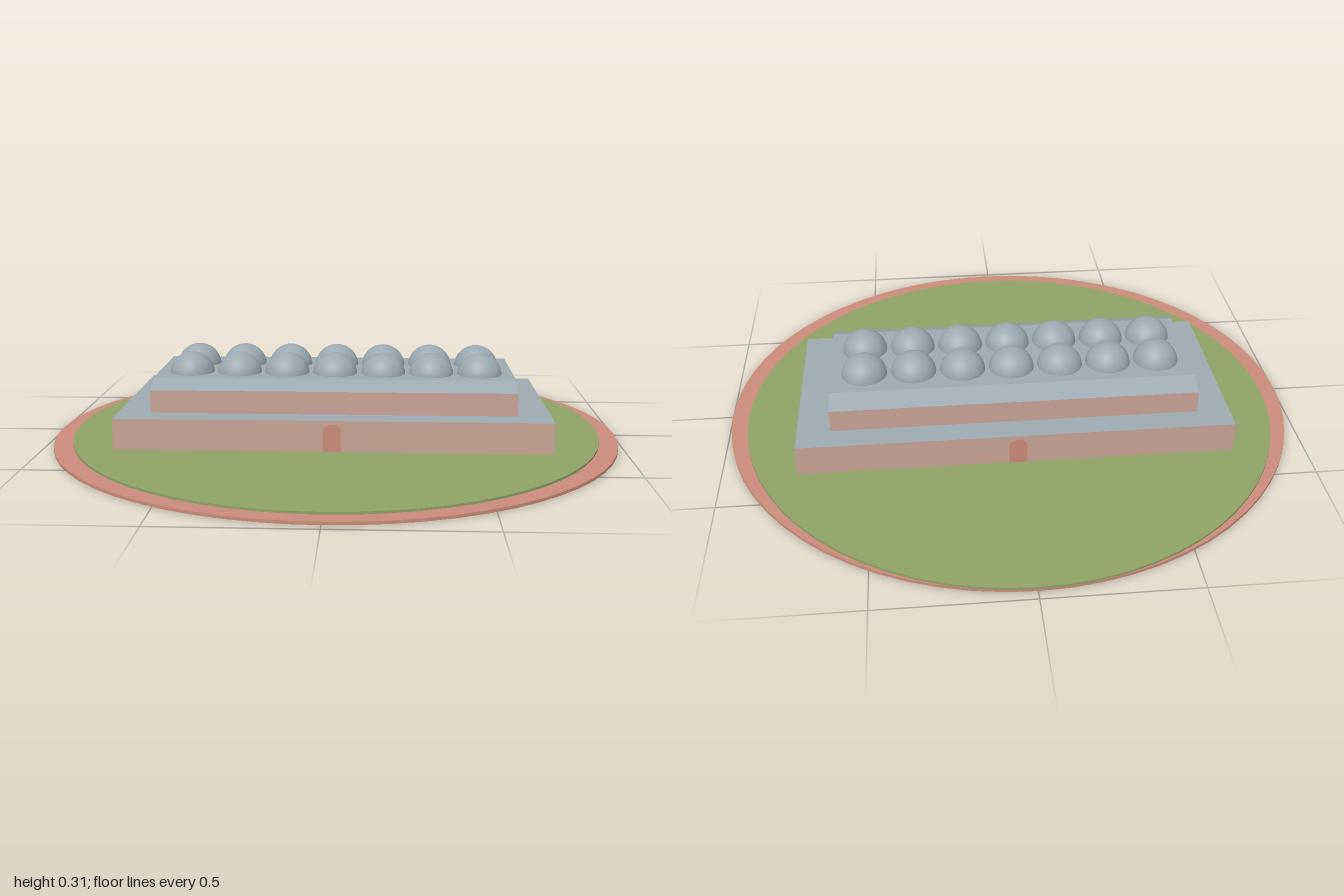
import * as THREE from 'three';

const mat = (name, color) => {
  const m = new THREE.MeshStandardMaterial({ color });
  m.name = name;
  return m;
};

export function createModel() {
  const root = new THREE.Group();
  root.name = 'domedHall';
  const clay = mat('clay', 0xc98b78);
  const grass = mat('grass', 0x8fa167);
  const wall = mat('wall', 0xc9a394);
  const lead = mat('roofGrey', 0x9ba9b0);

  const add = (name, geometry, material, x = 0, y = 0, z = 0, parent = root) => {
    const mesh = new THREE.Mesh(geometry, material);
    mesh.name = name;
    mesh.position.set(x, y, z);
    parent.add(mesh);
    return mesh;
  };

  const CZ = -0.03; // the hall and lawn sit slightly behind the middle

  // Ground: oval clay base with a round lawn on top
  add('groundBase', new THREE.CylinderGeometry(1, 1, 0.01, 64), clay, 0, 0.005, 0).scale.z = 0.968;
  add('lawn', new THREE.CylinderGeometry(0.94, 0.94, 0.008, 64), grass, 0, 0.014, CZ);

  // Two stepped storeys: clay-pink walls, grey tops
  const storey = (name, w, d, y0, y1) =>
    add(name, new THREE.BoxGeometry(w, y1 - y0, d),
      [wall, wall, lead, wall, wall, wall], 0, (y0 + y1) / 2, CZ);
  storey('lowerStorey', 1.484, 0.688, 0.018, 0.125);
  storey('upperStorey', 1.256, 0.514, 0.125, 0.204);

  // Roof slab with sloping long sides
  const profile = new THREE.Shape([
    [-0.257, 0], [0.257, 0], [0.191, 0.03], [-0.191, 0.03],
  ].map(([x, y]) => new THREE.Vector2(x, y)));
  const roofGeo = new THREE.ExtrudeGeometry(profile, { depth: 1.256, bevelEnabled: false });
  roofGeo.translate(0, 0, -0.628).rotateY(Math.PI / 2);
  add('roofSlab', roofGeo, lead, 0, 0.204, CZ);

  // Two rows of seven domes
  const domes = new THREE.Group();
  domes.name = 'domes';
  root.add(domes);
  const domeGeo = new THREE.SphereGeometry(0.079, 32, 12, 0, Math.PI * 2, 0, Math.PI / 2);
  for (let i = -3; i <= 3; i++)
    for (const side of [-1, 1])
      add('dome', domeGeo, lead, i * 0.17, 0.227, CZ + side * 0.079, domes);

  // Thin arched doors in the middle of all four sides
  const arch = new THREE.Shape();
  arch.moveTo(-0.031, 0);
  arch.lineTo(0.031, 0);
  arch.lineTo(0.031, 0.064);
  arch.absarc(0, 0.064, 0.031, 0, Math.PI, false);
  arch.closePath();
  const doorGeo = new THREE.ExtrudeGeometry(arch, { depth: 0.005, bevelEnabled: false, curveSegments: 12 });
  for (let i = 0; i < 4; i++) {
    const angle = i * Math.PI / 2;
    const reach = (i % 2 ? 0.742 : 0.344) - 0.002;
    add('door', doorGeo, clay, Math.sin(angle) * reach, 0.018, CZ + Math.cos(angle) * reach)
      .rotation.y = angle;
  }
  return root;
}
